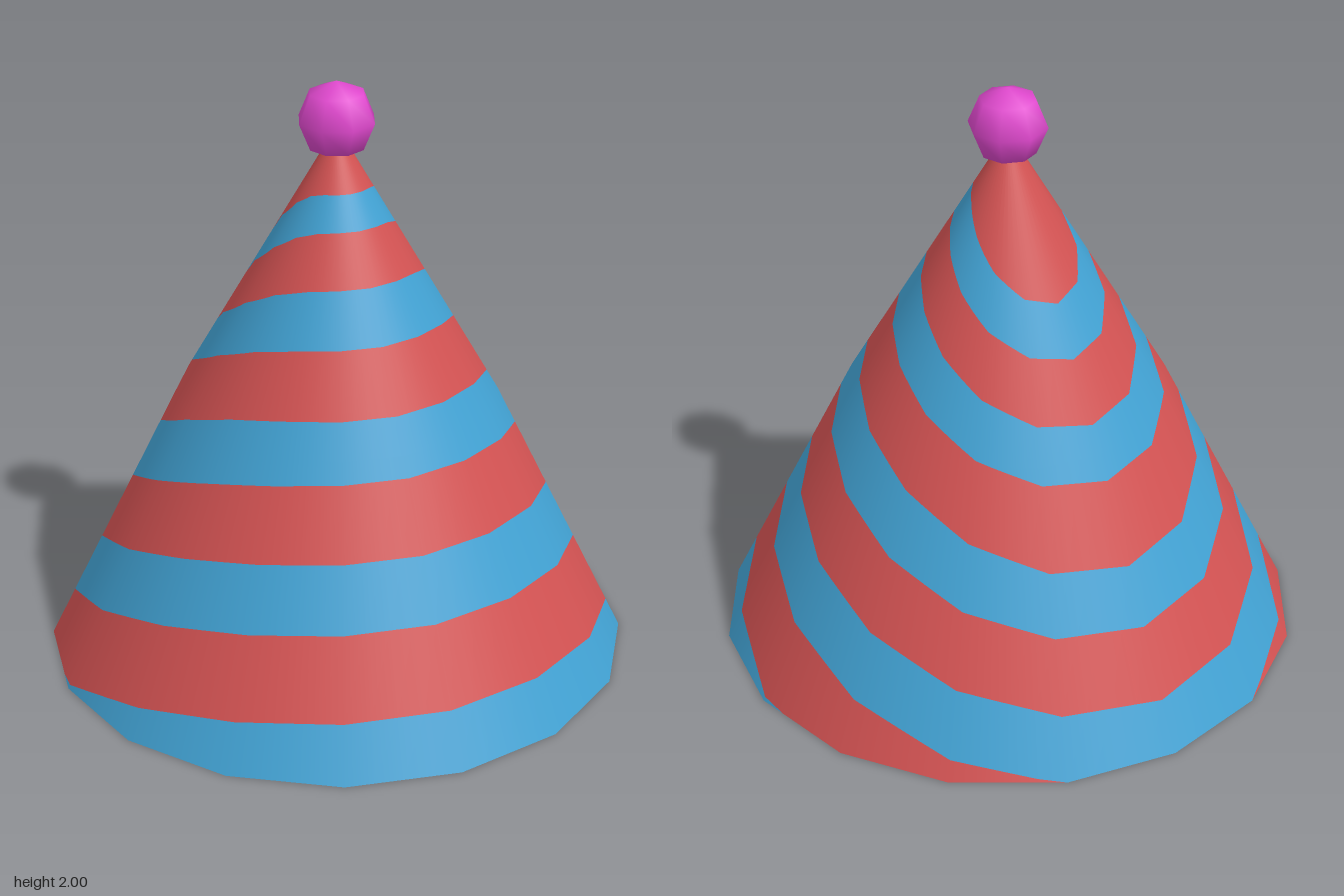
import * as THREE from 'three';

const SIDES = 16, SUB = 4;
const KINK = 0.92, TIP = 1.85;

// Hat radius at a height: two straight slopes meeting at a slight bulge
function radiusAt(y) {
  return y < KINK
    ? THREE.MathUtils.lerp(0.98, 0.535, y / KINK)
    : THREE.MathUtils.lerp(0.535, 0, (y - KINK) / (TIP - KINK));
}

// Stripe borders: height at the front, drop towards the back, sharpness of the drop
const borders = [
  [-0.5, 0, 1], [0.18, 0.49, 1.55], [0.43, 0.465, 1.55], [0.63, 0.464, 1.62],
  [0.855, 0.462, 1.68], [1.03, 0.45, 1.95], [1.225, 0.385, 1.9],
  [1.39, 0.385, 1.95], [1.55, 0.355, 2.1], [1.655, 0.3, 2.7], [TIP, 0, 1],
];

function borderHeight([front, drop, power], side) {
  const a = (side / SIDES) * Math.PI * 2;
  return front - drop * Math.pow((1 - Math.cos(a)) / 2, power);
}

// One stripe, wrapped round the faceted cone
function stripeGeometry(low, high) {
  const pos = [], nor = [], idx = [];
  for (let i = 0; i <= SIDES * SUB; i++) {
    const s = Math.floor(i / SUB), t = (i % SUB) / SUB;
    const a0 = (s / SIDES) * Math.PI * 2, a1 = ((s + 1) / SIDES) * Math.PI * 2;
    const mix = (p, q) => THREE.MathUtils.lerp(p, q, t);
    const dx = mix(Math.sin(a0), Math.sin(a1)), dz = mix(Math.cos(a0), Math.cos(a1));
    const height = (b) => Math.max(0, mix(borderHeight(b, s), borderHeight(b, s + 1)));
    const y0 = height(low), y1 = height(high);
    const n = new THREE.Vector3(dx, 0.52, dz).normalize();
    for (const y of [y0, THREE.MathUtils.clamp(KINK, y0, y1), y1]) {
      const r = radiusAt(y);
      pos.push(dx * r, y, dz * r);
      nor.push(n.x, n.y, n.z);
    }
    if (i === SIDES * SUB) break;
    for (let k = 0; k < 2; k++) {
      const a = i * 3 + k, b = a + 3;
      idx.push(a, b, b + 1, a, b + 1, a + 1);
    }
  }
  const g = new THREE.BufferGeometry();
  g.setAttribute('position', new THREE.Float32BufferAttribute(pos, 3));
  g.setAttribute('normal', new THREE.Float32BufferAttribute(nor, 3));
  g.setIndex(idx);
  return g;
}

export function createModel() {
  const model = new THREE.Group();
  model.name = 'partyHat';

  const blue = new THREE.MeshStandardMaterial({ color: 0x41a1d2, side: THREE.DoubleSide });
  blue.name = 'blue';
  const red = new THREE.MeshStandardMaterial({ color: 0xd25252, side: THREE.DoubleSide });
  red.name = 'red';
  const pink = new THREE.MeshStandardMaterial({ color: 0xe048ce });
  pink.name = 'pink';

  // Hollow cone of alternating slanted stripes
  const cone = new THREE.Group();
  cone.name = 'cone';
  for (let i = 0; i < borders.length - 1; i++) {
    const stripe = new THREE.Mesh(stripeGeometry(borders[i], borders[i + 1]), i % 2 ? red : blue);
    stripe.name = (i % 2 ? 'redStripe' : 'blueStripe') + (i + 1);
    cone.add(stripe);
  }
  model.add(cone);

  // Low-poly pompom with a flat underside
  const pompom = new THREE.Group();
  pompom.name = 'pompom';
  const ball = new THREE.Mesh(
    new THREE.SphereGeometry(0.13, 8, 3, 0, Math.PI * 2, 0, Math.PI * 0.75), pink);
  ball.name = 'pompomBall';
  const base = new THREE.Mesh(new THREE.CircleGeometry(0.092, 8), pink);
  base.name = 'pompomBase';
  base.rotation.x = Math.PI / 2;
  base.position.y = -0.092;
  pompom.add(ball, base);
  pompom.position.y = 1.87;
  model.add(pompom);

  return model;
}
